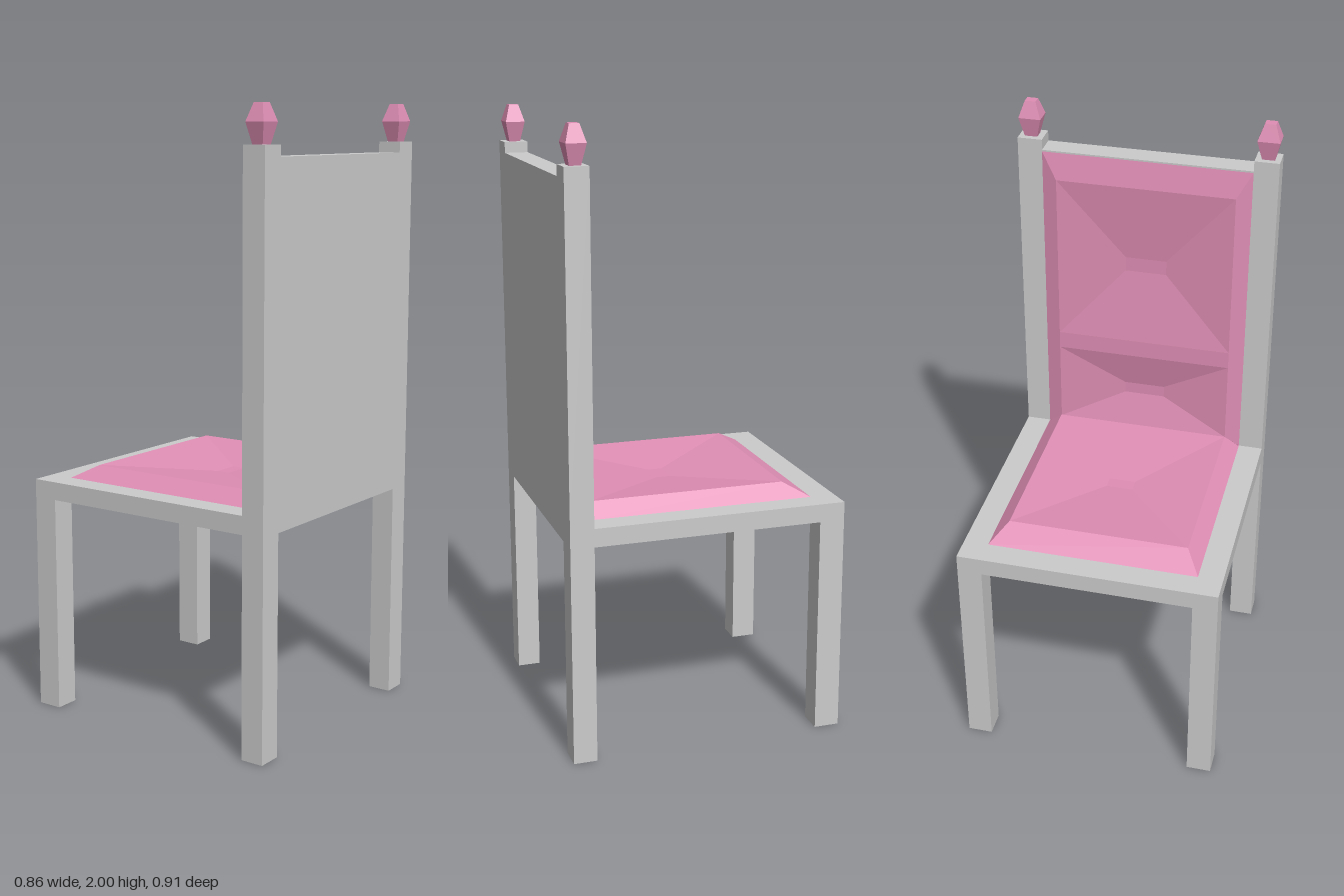
import * as THREE from 'three';

const grey = new THREE.MeshStandardMaterial({ color: 0xcccccc, flatShading: true });
const pink = new THREE.MeshStandardMaterial({ color: 0xe08fb5, flatShading: true });

// Box given by its limits on each axis
function box(name, [x0, x1], [y0, y1], [z0, z1]) {
  const geo = new THREE.BoxGeometry(x1 - x0, y1 - y0, z1 - z0);
  geo.translate((x0 + x1) / 2, (y0 + y1) / 2, (z0 + z1) / 2);
  const mesh = new THREE.Mesh(geo, grey);
  mesh.name = name;
  return mesh;
}

// Rectangle in the xy plane at height h, corners counter-clockwise
const rect = (halfX, y0, y1, h) => [
  [-halfX, y0, h], [halfX, y0, h], [halfX, y1, h], [-halfX, y1, h],
];

// Padded cushion facing +z: a bevelled rim around pressed-in dishes,
// with flat bands between neighbouring dishes
function cushionGeometry(outer, inner, dishes) {
  const pos = [];
  const quad = (a, b, c, d) => pos.push(...a, ...b, ...c, ...a, ...c, ...d);
  const ring = (a, b) => {
    for (let i = 0; i < 4; i++) {
      const j = (i + 1) % 4;
      quad(a[i], a[j], b[j], b[i]);
    }
  };
  ring(outer, inner);
  dishes.forEach(({ edge, floor }, i) => {
    ring(edge, floor);
    quad(...floor);
    const next = dishes[i + 1];
    if (next) quad(edge[3], edge[2], next.edge[1], next.edge[0]);
  });
  const geo = new THREE.BufferGeometry();
  geo.setAttribute('position', new THREE.Float32BufferAttribute(pos, 3));
  geo.computeVertexNormals();
  return geo;
}

export function createModel() {
  const chair = new THREE.Group();
  chair.name = 'chair';

  // Seat slab
  chair.add(box('seat', [-0.432, 0.432], [0.72, 0.78], [-0.455, 0.455]));

  // Legs, back posts and finials, mirrored left and right
  for (const [side, s] of [['left', 1], ['right', -1]]) {
    const span = s > 0 ? [0.35, 0.432] : [-0.432, -0.35];
    chair.add(box(side + 'FrontLeg', span, [0, 0.72], [-0.455, -0.372]));
    chair.add(box(side + 'BackLeg', span, [0, 0.72], [0.378, 0.455]));
    chair.add(box(side + 'BackPost', span, [0.78, 1.88], [0.378, 0.455]));

    const r = Math.SQRT2;
    const profile = [[0, 1.88], [0.021 * r, 1.88], [0.037 * r, 1.945], [0.018 * r, 2], [0, 2]]
      .map(([x, y]) => new THREE.Vector2(x, y));
    const geo = new THREE.LatheGeometry(profile, 4);
    geo.rotateY(Math.PI / 4);
    geo.scale(1, 1, 0.86);
    geo.translate(s * 0.392, 0, 0.416);
    const finial = new THREE.Mesh(geo, pink);
    finial.name = side + 'Finial';
    chair.add(finial);
  }

  // Backrest panel with a deeper rail along its top
  chair.add(box('backPanel', [-0.35, 0.35], [0.72, 1.82], [0.4, 0.455]));
  chair.add(box('topRail', [-0.35, 0.35], [1.82, 1.845], [0.378, 0.455]));

  // Seat cushion
  const seatRim = rect(0.3, -0.355, 0.29, 0.825);
  const seatGeo = cushionGeometry(rect(0.35, -0.375, 0.372, 0.78), seatRim, [
    { edge: seatRim, floor: rect(0.045, -0.055, -0.01, 0.797) },
  ]);
  seatGeo.rotateX(-Math.PI / 2);
  const seatCushion = new THREE.Mesh(seatGeo, pink);
  seatCushion.name = 'seatCushion';
  chair.add(seatCushion);

  // Back cushion with a small lower dish and a tall upper dish
  const backGeo = cushionGeometry(
    rect(0.35, 0.78, 1.84, -0.377),
    rect(0.3, 0.82, 1.75, -0.36),
    [
      { edge: rect(0.3, 0.82, 1.11, -0.36), floor: rect(0.07, 0.94, 0.98, -0.388) },
      { edge: rect(0.3, 1.17, 1.75, -0.36), floor: rect(0.07, 1.43, 1.48, -0.388) },
    ],
  );
  backGeo.rotateY(Math.PI);
  const backCushion = new THREE.Mesh(backGeo, pink);
  backCushion.name = 'backCushion';
  chair.add(backCushion);

  return chair;
}
